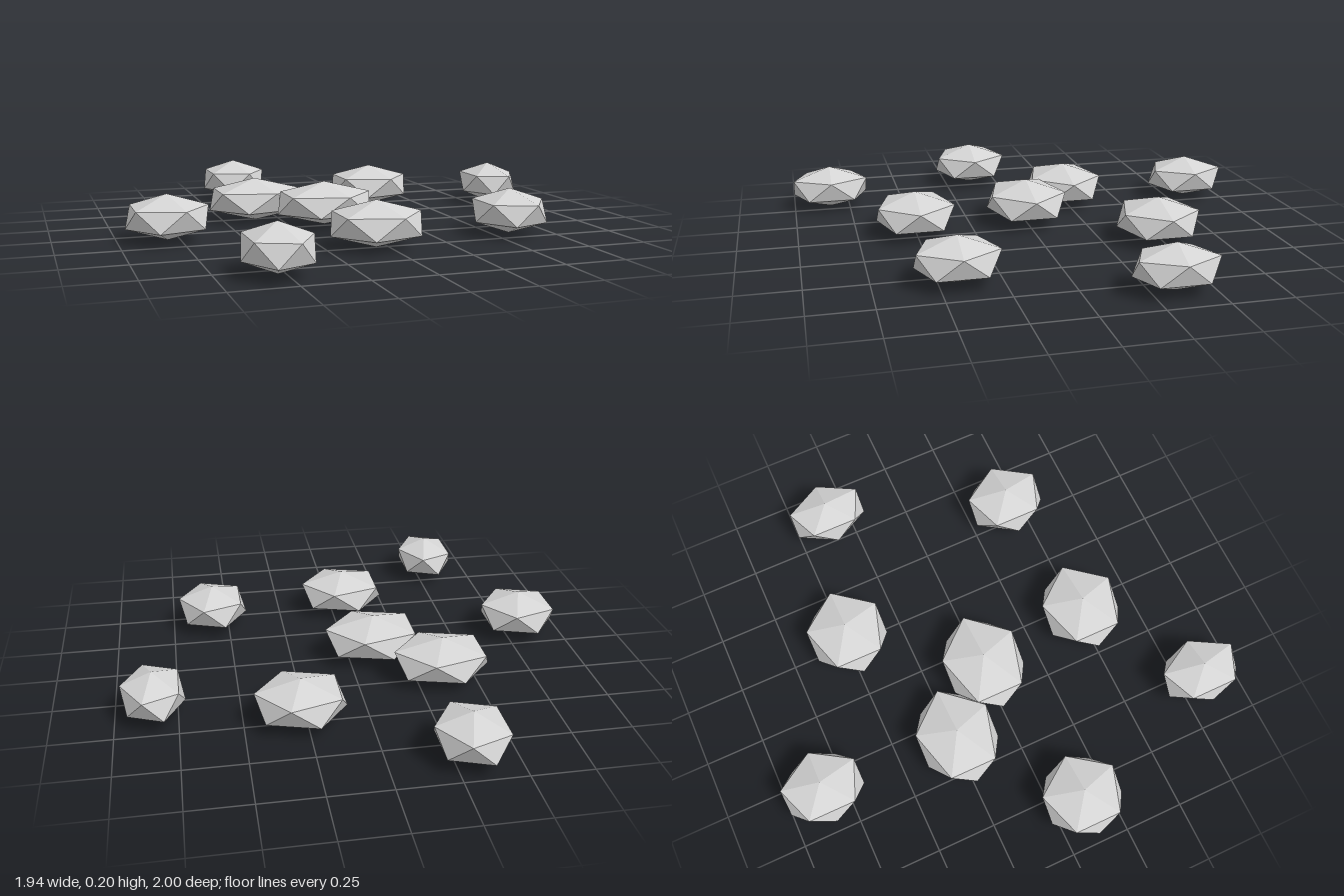
import * as THREE from 'three';

// Stepping stones: x, y, z of the centre, then radius along x and z
const STONES = [
  [-0.106, 0.101, 0.001, 0.232, 0.194],
  [-0.323, 0.101, -0.836, 0.166, 0.192],
  [0.271, 0.096, -0.482, 0.206, 0.191],
  [0.843, 0.102, -0.343, 0.141, 0.189],
  [-0.357, 0.094, -0.238, 0.228, 0.191],
  [-0.804, 0.101, 0.128, 0.188, 0.19],
  [-0.05, 0.096, 0.502, 0.21, 0.191],
  [0.566, 0.1, 0.425, 0.17, 0.191],
  [-0.534, 0.101, 0.835, 0.148, 0.194],
];
const HALF_HEIGHT = 0.094;

export function createModel() {
  const group = new THREE.Group();
  group.name = 'steppingStones';

  const stoneGrey = new THREE.MeshStandardMaterial({ color: 0xd4d4d4 });
  stoneGrey.name = 'stoneGrey';

  // Faceted stone standing on a corner, with one upper ring corner towards +x
  const facets = new THREE.IcosahedronGeometry(1, 0);
  facets.rotateZ(-Math.atan(2 / (1 + Math.sqrt(5))));

  STONES.forEach(([x, y, z, rx, rz], i) => {
    const stone = new THREE.Mesh(facets, stoneGrey);
    stone.name = `stone${i + 1}`;
    stone.position.set(x, y, z);
    stone.scale.set(rx, HALF_HEIGHT, rz);
    group.add(stone);
  });

  return group;
}
